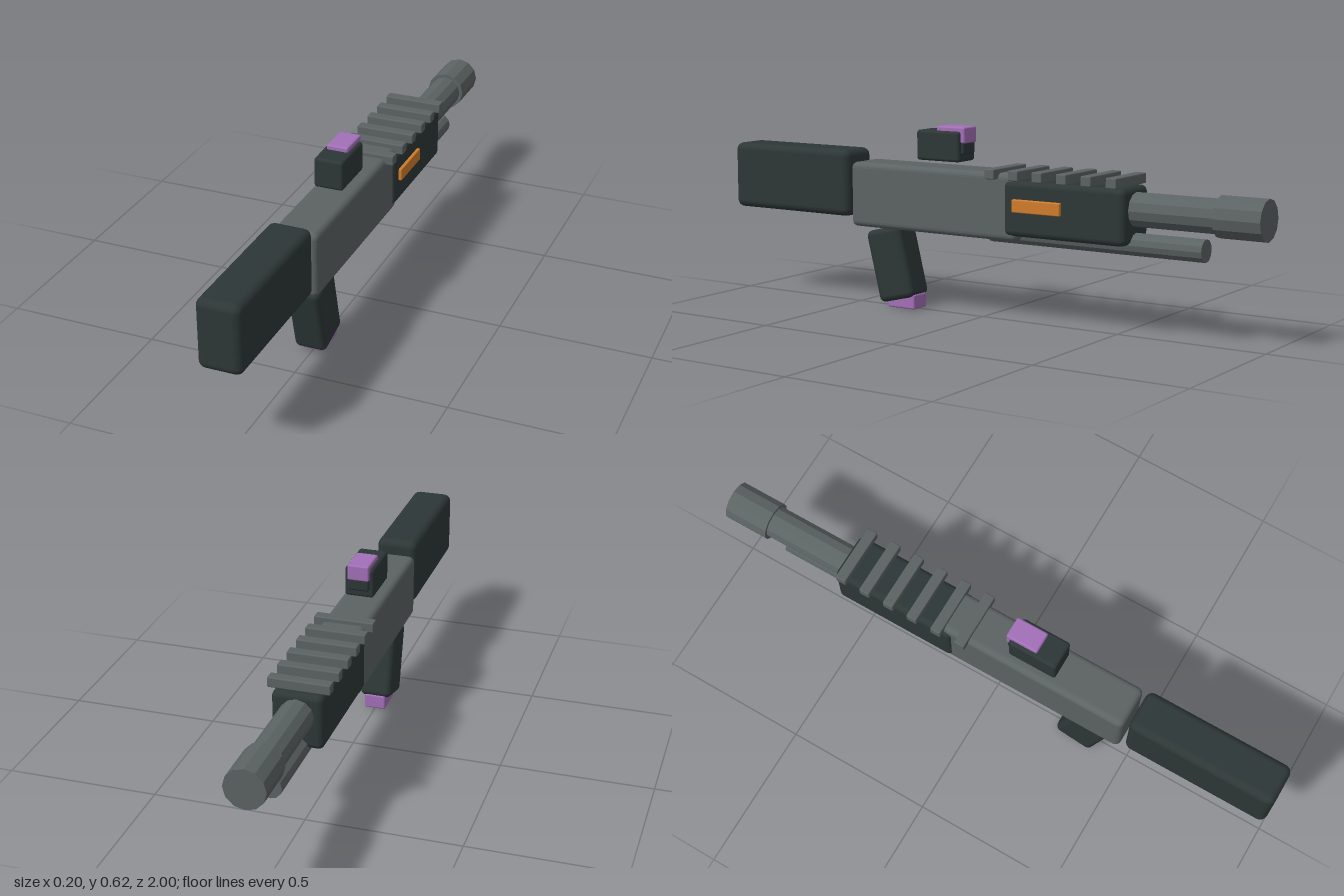
import * as THREE from 'three';
import { RoundedBoxGeometry } from 'three/addons/geometries/RoundedBoxGeometry.js';

const material = (name, color, flatShading = false) => {
  const m = new THREE.MeshStandardMaterial({ color, flatShading });
  m.name = name;
  return m;
};

export function createModel() {
  const group = new THREE.Group();
  const dark = material('dark polymer', 0x2d3736);
  const grey = material('grey metal', 0x5c6363, true);
  const purple = material('purple accent', 0xa26fb8);
  const orange = material('orange accent', 0xd07d2c);

  const add = (name, geometry, mat) => {
    const mesh = new THREE.Mesh(geometry, mat);
    mesh.name = name;
    group.add(mesh);
    return mesh;
  };

  // Rounded box centred on x, given its y and z ranges
  const block = (name, mat, width, [y0, y1], [z0, z1], radius, x = 0) => {
    const mesh = add(name, new RoundedBoxGeometry(width, y1 - y0, z1 - z0, 3, radius), mat);
    mesh.position.set(x, (y0 + y1) / 2, (z0 + z1) / 2);
    return mesh;
  };

  // Twelve-sided rod along z
  const rod = (name, radius, y, [z0, z1]) => {
    const geometry = new THREE.CylinderGeometry(radius, radius, z1 - z0, 12).rotateX(Math.PI / 2);
    add(name, geometry, grey).position.set(0, y, (z0 + z1) / 2);
  };

  // Main body
  block('stock', dark, 0.14, [0.297, 0.523], [0.5, 1], 0.025);
  block('receiver', grey, 0.146, [0.269, 0.486], [-0.17, 0.485], 0.02);
  block('handguard', dark, 0.162, [0.288, 0.466], [-0.562, -0.128], 0.02);
  block('sidePlate', orange, 0.03, [0.367, 0.409], [-0.342, -0.167], 0.004, 0.077);

  // Barrel, muzzle and the tube below
  rod('barrel', 0.054, 0.397, [-0.86, -0.5]);
  rod('muzzle', 0.065, 0.397, [-1, -0.846]);
  rod('magazineTube', 0.036, 0.289, [-0.8, -0.04]);

  // Rail slats across the top
  for (let i = 0; i < 6; i++) {
    const z = -0.525 + i * 0.0876;
    block('railSlat', grey, 0.196, [0.467, 0.5], [z - 0.018, z + 0.018], 0.004);
  }

  // Sight with its cap and lens
  block('sight', dark, 0.097, [0.506, 0.605], [0.062, 0.23], 0.01);
  block('sightCap', purple, 0.072, [0.567, 0.62], [0.048, 0.157], 0.006);
  block('sightLens', dark, 0.07, [0.53, 0.6], [0.052, 0.1], 0.008);

  // Slanted grip and its foot
  const grip = block('grip', dark, 0.108, [0.025, 0.27], [0.275, 0.415], 0.02);
  grip.rotation.x = THREE.MathUtils.degToRad(14);
  block('gripFoot', purple, 0.072, [0, 0.05], [0.251, 0.36], 0.006);

  return group;
}
